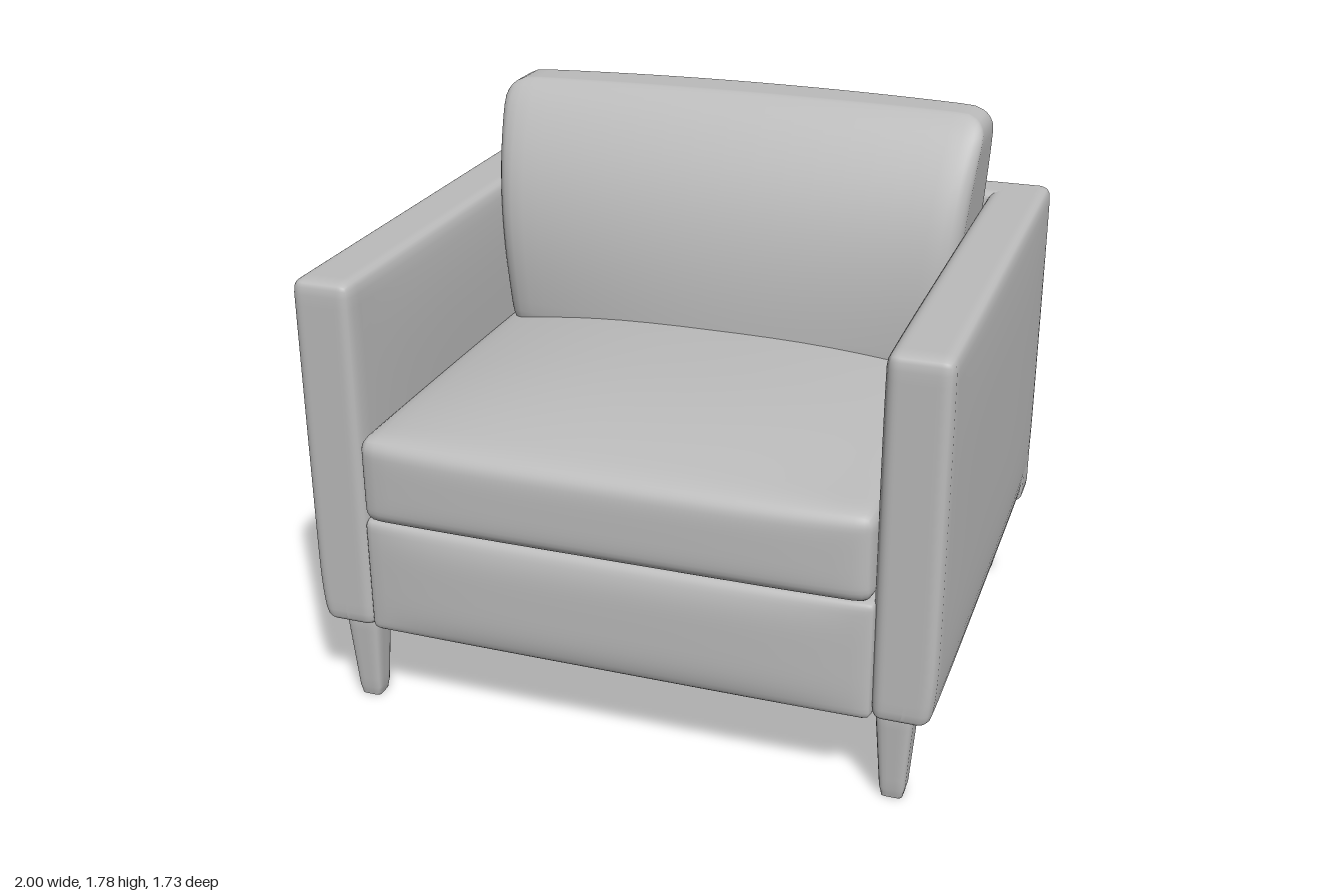
import * as THREE from 'three';
import { mergeVertices } from 'three/addons/utils/BufferGeometryUtils.js';

const grey = new THREE.MeshStandardMaterial({ color: 0xbbbbbb });
grey.name = 'plain grey';

// Smooth rounded box centred on the origin; shape(p, u) may move each point,
// where u is the point's position in the box from -1 to 1.
function softBox(name, size, radius, shape, segs = 24) {
  let geo = new THREE.BoxGeometry(2, 2, 2, segs, segs, segs);
  geo.deleteAttribute('uv');
  geo.deleteAttribute('normal');
  geo = mergeVertices(geo);
  const half = new THREE.Vector3(...size).multiplyScalar(0.5);
  const inner = half.clone().subScalar(radius);
  const low = inner.clone().negate();
  const pos = geo.attributes.position;
  const p = new THREE.Vector3(), q = new THREE.Vector3(), u = new THREE.Vector3();
  const crowd = (v) => Math.sin(v * Math.PI / 2); // more points near the edges
  for (let i = 0; i < pos.count; i++) {
    p.fromBufferAttribute(pos, i);
    p.set(crowd(p.x), crowd(p.y), crowd(p.z)).multiply(half);
    q.copy(p).clamp(low, inner);
    p.sub(q).setLength(radius).add(q);
    u.copy(p).divide(half);
    if (shape) shape(p, u);
    pos.setXYZ(i, p.x, p.y, p.z);
  }
  geo.computeVertexNormals();
  const mesh = new THREE.Mesh(geo, grey);
  mesh.name = name;
  return mesh;
}

const dome = (a, b, n = 2) => (1 - Math.abs(a) ** n) * (1 - Math.abs(b) ** n);

export function createModel() {
  const chair = new THREE.Group();
  chair.name = 'armchair';
  const add = (mesh, x, y, z) => {
    mesh.position.set(x, y, z);
    chair.add(mesh);
  };

  // Arms, slightly padded on both sides and drawn in towards the floor
  for (const side of [1, -1]) {
    const arm = softBox(side > 0 ? 'leftArm' : 'rightArm', [0.19, 1.15, 1.67], 0.035, (p, u) => {
      const outer = u.x * side > 0;
      p.x += u.x * (outer ? 0.012 : 0.025) * dome(u.y, u.z, 4);
      if (outer) p.x -= side * 0.02 * Math.max(0, -u.y) ** 8;
    });
    add(arm, side * 0.895, 0.865, -0.02);
  }

  // Back of the frame
  add(softBox('backFrame', [1.98, 1.15, 0.165], 0.035, (p, u) => {
    if (u.z < 0) p.z -= 0.01 * dome(u.x, u.y, 4);
  }), 0, 0.865, -0.773);

  // Base under the seat, with a padded front
  add(softBox('base', [1.61, 0.39, 1.6], 0.025, (p, u) => {
    if (u.z > 0) p.z += 0.03 * dome(u.x, u.y, 4) * u.z;
  }), 0, 0.485, 0.02);

  // Seat cushion with a crowned top and rounded front
  add(softBox('seatCushion', [1.6, 0.29, 1.53], 0.05, (p, u) => {
    if (u.y > 0) p.y += 0.09 * dome(u.x, u.z, 2.5) * u.y;
    if (u.z > 0) p.z += 0.025 * dome(u.x, u.y, 4) * u.z;
  }), 0, 0.82, 0.075);

  // Leaning back cushion: thick at the bottom, narrow and wider-eared at the top
  add(softBox('backCushion', [1.6, 0.85, 0.5], 0.08, (p, u) => {
    const t = (u.y + 1) / 2;
    const ends = u.x * u.x;
    const front = -0.13 - 0.27 * t ** 3 - 0.07 * ends * (1 - t);
    const back = -0.705 + 0.11 * t ** 6 + 0.04 * ends;
    p.z = THREE.MathUtils.lerp(back, front, (u.z + 1) / 2);
    p.x = u.x * (0.76 + 0.07 * t);
    p.y += 0.01 * Math.max(0, u.y) * (1 - ends);
  }), 0, 1.35, 0);

  // Tapered legs
  for (const x of [0.865, -0.865]) {
    for (const z of [0.725, -0.75]) {
      const name = (z > 0 ? 'front' : 'back') + (x > 0 ? 'Left' : 'Right') + 'Leg';
      const leg = softBox(name, [0.12, 0.32, 0.12], 0.03, (p, u) => {
        const k = 0.81 + 0.19 * u.y;
        p.x *= k;
        p.z *= k;
        // flat foot
        if (p.y < -0.15) p.y = -0.16;
      }, 10);
      add(leg, x, 0.16, z);
    }
  }
  return chair;
}
